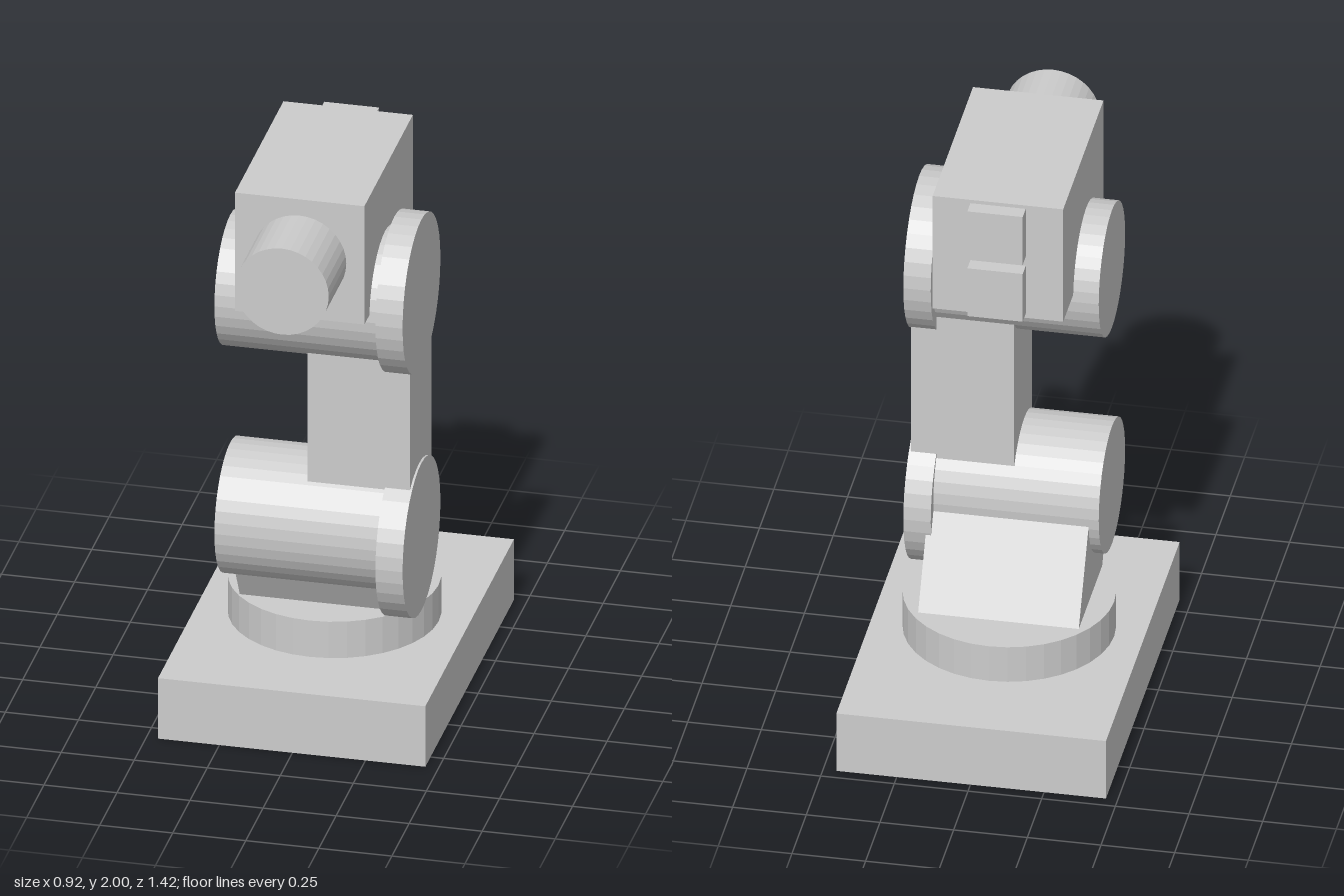
import * as THREE from 'three';

const material = new THREE.MeshStandardMaterial({ color: 0xcccccc, flatShading: true });

export function createModel() {
  const model = new THREE.Group();

  const add = (name, geometry) => {
    const mesh = new THREE.Mesh(geometry, material);
    mesh.name = name;
    model.add(mesh);
    return mesh;
  };

  // Box given by its extents on each axis
  const box = (name, [x0, x1], [y0, y1], [z0, z1]) =>
    add(name, new THREE.BoxGeometry(x1 - x0, y1 - y0, z1 - z0))
      .position.set((x0 + x1) / 2, (y0 + y1) / 2, (z0 + z1) / 2);

  // Cylinder along an axis, centred at (x, y, z)
  const cylinder = (name, axis, radius, length, x, y, z) => {
    const geometry = new THREE.CylinderGeometry(radius, radius, length, 36);
    if (axis === 'x') geometry.rotateZ(-Math.PI / 2);
    if (axis === 'z') geometry.rotateX(Math.PI / 2);
    add(name, geometry).position.set(x, y, z);
  };

  // Base and turntable
  box('base', [-0.46, 0.455], [0, 0.225], [-0.708, 0.575]);
  cylinder('turntable', 'y', 0.356, 0.135, -0.004, 0.2925, -0.052);

  // Forward-leaning shoulder bracket, profile in (-z, y) extruded along x
  const lean = (0.7 - 0.36) / Math.tan(Math.PI / 3);
  const profile = new THREE.Shape([
    new THREE.Vector2(-0.165, 0.36),
    new THREE.Vector2(0.243, 0.36),
    new THREE.Vector2(0.243 - lean, 0.7),
    new THREE.Vector2(-0.165 - lean, 0.7),
  ]);
  const bracket = new THREE.ExtrudeGeometry(profile, { depth: 0.545, bevelEnabled: false });
  bracket.rotateY(Math.PI / 2);
  add('shoulderBracket', bracket).position.x = -0.277;

  // Shoulder and elbow joints: a long drum with a wider cap on the left
  const joints = [
    ['shoulder', 0.686, 0.64],
    ['elbow', 1.533, 1.546],
  ];
  for (const [name, drumY, capY] of joints) {
    cylinder(name + 'Drum', 'x', 0.23, 0.562, -0.031, drumY, 0.155);
    cylinder(name + 'Cap', 'x', 0.274, 0.093, 0.296, capY, 0.155);
  }

  // Upper arm linking the two joints
  box('arm', [-0.015, 0.335], [0.66, 1.54], [-0.022, 0.291]);

  // Head with front flange and two rear connector blocks
  box('head', [-0.225, 0.218], [1.56, 2], [-0.247, 0.455]);
  cylinder('wristFlange', 'z', 0.16, 0.255, -0.004, 1.78, 0.5815);
  for (const y of [1.577, 1.8]) {
    box('rearConnector', [-0.098, 0.09], [y, y + 0.187], [-0.3, -0.24]);
  }

  return model;
}
